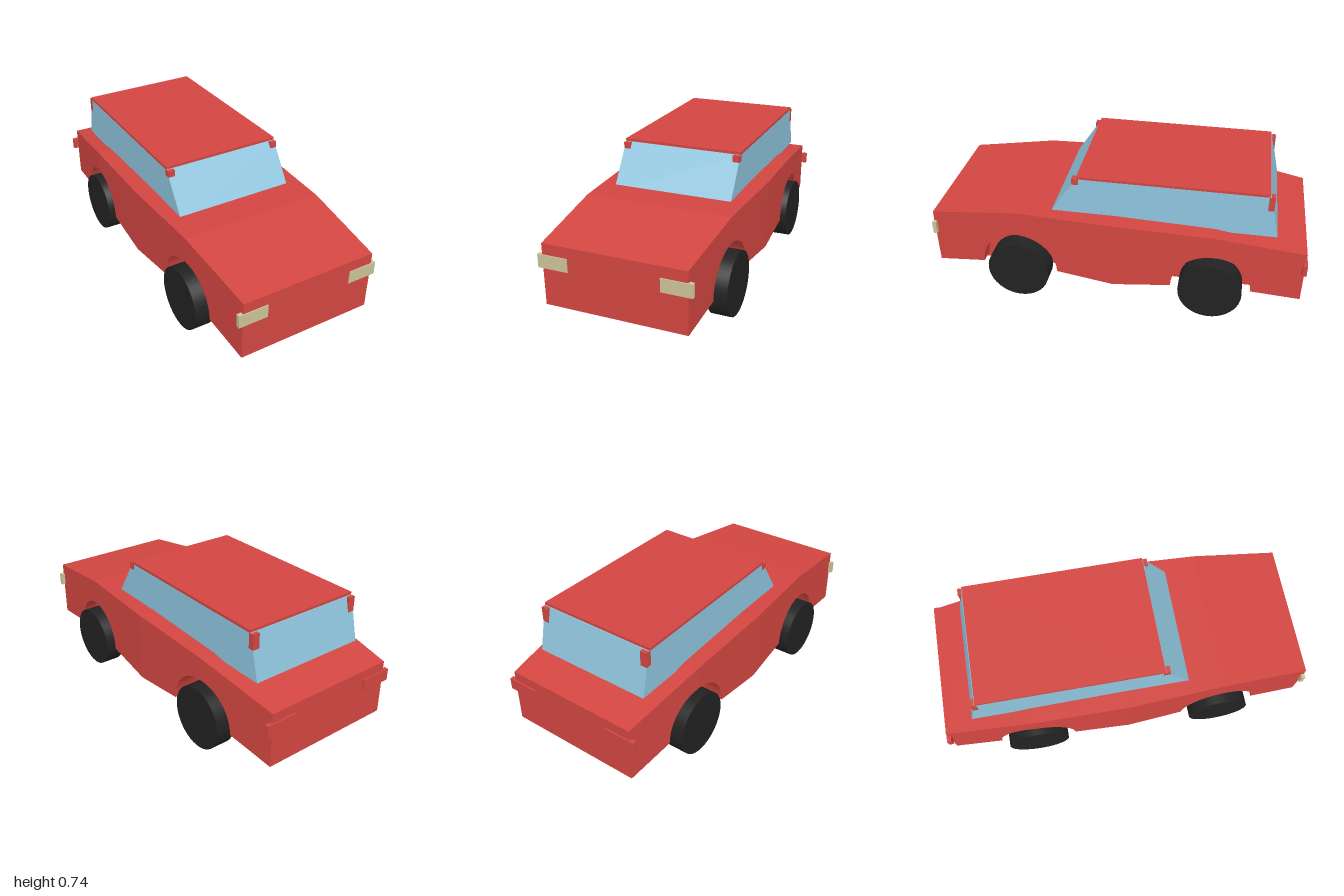
import * as THREE from 'three';

const paint = new THREE.MeshStandardMaterial({ color: 0xd34641 });
paint.name = 'red paint';
const glass = new THREE.MeshStandardMaterial({ color: 0x8fc5de });
glass.name = 'pale blue glass';
const rubber = new THREE.MeshStandardMaterial({ color: 0x222222 });
rubber.name = 'black rubber';
const lamp = new THREE.MeshStandardMaterial({ color: 0xcdc39a });
lamp.name = 'cream lamp';

const FLOOR = 0.135, WELL_X = 0.3, AXLE_Y = 0.169, ARCH_R = 0.21, AXLES = [0.52, -0.52];

// Body stations: z, height of the top, half width
const STATIONS = [
  [0.995, 0.457, 0.368], [0.52, 0.52, 0.395], [0, 0.52, 0.421],
  [-0.52, 0.503, 0.411], [-0.992, 0.428, 0.369],
];

function station(z) {
  let i = 0;
  while (i < STATIONS.length - 2 && z < STATIONS[i + 1][0]) i++;
  const [a, b] = [STATIONS[i], STATIONS[i + 1]];
  const t = (z - a[0]) / (b[0] - a[0]);
  return [a[1] + (b[1] - a[1]) * t, a[2] + (b[2] - a[2]) * t];
}

// Lower edge of the side panels, raised over the wheels
function sillHeight(z) {
  const d = Math.min(...AXLES.map((axle) => Math.abs(z - axle)));
  return d < ARCH_R ? Math.max(FLOOR, AXLE_Y + Math.sqrt(ARCH_R ** 2 - d ** 2)) : FLOOR;
}

// Body shell lofted from front to back, with wheel wells cut into the sides
function bodyGeometry() {
  const zs = STATIONS.map((s) => s[0]);
  for (const axle of AXLES) {
    for (let i = 0; i <= 24; i++) {
      if (i !== 12) zs.push(axle + ARCH_R * Math.cos((i / 24) * Math.PI));
    }
    // close the arch ends down to the floor line
    zs.push(axle + ARCH_R - 0.0003, axle - ARCH_R + 0.0003);
  }
  zs.sort((a, b) => b - a);
  const rings = zs.map((z) => {
    const [top, w] = station(z);
    const sill = sillHeight(z);
    return [
      [w, top, z], [-w, top, z], [-w, sill, z], [-WELL_X, sill, z],
      [-WELL_X, FLOOR, z], [WELL_X, FLOOR, z], [WELL_X, sill, z], [w, sill, z],
    ];
  });
  const pos = [];
  const quad = (a, b, c, d) => pos.push(...a, ...b, ...c, ...a, ...c, ...d);
  for (let i = 0; i < rings.length - 1; i++) {
    const p = rings[i], q = rings[i + 1];
    for (let j = 0; j < 8; j++) {
      const k = (j + 1) % 8;
      quad(p[j], q[j], q[k], p[k]);
    }
  }
  const f = rings[0], r = rings[rings.length - 1];
  quad(f[0], f[1], f[2], f[7]);
  quad(r[7], r[2], r[1], r[0]);
  const geo = new THREE.BufferGeometry();
  geo.setAttribute('position', new THREE.Float32BufferAttribute(pos, 3));
  geo.computeVertexNormals();
  return geo;
}

// Side outline in (z, y), extruded across the car
function acrossGeometry(points, halfWidth) {
  const shape = new THREE.Shape(points.map(([z, y]) => new THREE.Vector2(z, y)));
  const geo = new THREE.ExtrudeGeometry(shape, { depth: 2 * halfWidth, bevelEnabled: false });
  return geo.rotateY(-Math.PI / 2).translate(halfWidth, 0, 0);
}

// Box given by its extents
function boxGeometry(x0, x1, y0, y1, z0, z1) {
  return new THREE.BoxGeometry(x1 - x0, y1 - y0, z1 - z0)
    .translate((x0 + x1) / 2, (y0 + y1) / 2, (z0 + z1) / 2);
}

export function createModel() {
  const car = new THREE.Group();
  car.name = 'car';
  const add = (name, geo, mat) => {
    const mesh = new THREE.Mesh(geo, mat);
    mesh.name = name;
    car.add(mesh);
    return mesh;
  };

  add('body', bodyGeometry(), paint);

  // Cabin glass and roof panel
  add('cabinGlass', acrossGeometry(
    [[0.36, 0.49], [-0.835, 0.49], [-0.78, 0.725], [0.203, 0.725]], 0.327), glass);
  add('roof', boxGeometry(-0.328, 0.328, 0.725, 0.739, -0.775, 0.2), paint);

  for (const [side, s] of [['left', 1], ['right', -1]]) {
    const box = (name, x0, x1, y0, y1, z0, z1, mat) =>
      add(side + name, boxGeometry(Math.min(s * x0, s * x1), Math.max(s * x0, s * x1), y0, y1, z0, z1), mat);

    // Pillar stubs under the roof corners
    box('FrontPillar', 0.291, 0.3275, 0.69, 0.724, 0.19, 0.226, paint);
    box('RearPillar', 0.291, 0.3275, 0.645, 0.724, -0.8, -0.77, paint);

    // Lamps wrapping the corners
    box('Headlamp', 0.235, 0.392, 0.33, 0.4, 0.979, 1, lamp);
    box('TailLamp', 0.225, 0.4, 0.315, 0.377, -1, -0.977, paint);

    // Wheels
    AXLES.forEach((z, i) => {
      const wheel = add(side + (i ? 'RearWheel' : 'FrontWheel'),
        new THREE.CylinderGeometry(0.168, 0.168, 0.104, 40).rotateZ(Math.PI / 2), rubber);
      wheel.position.set(s * 0.385, 0.168, z);
    });
  }
  return car;
}
